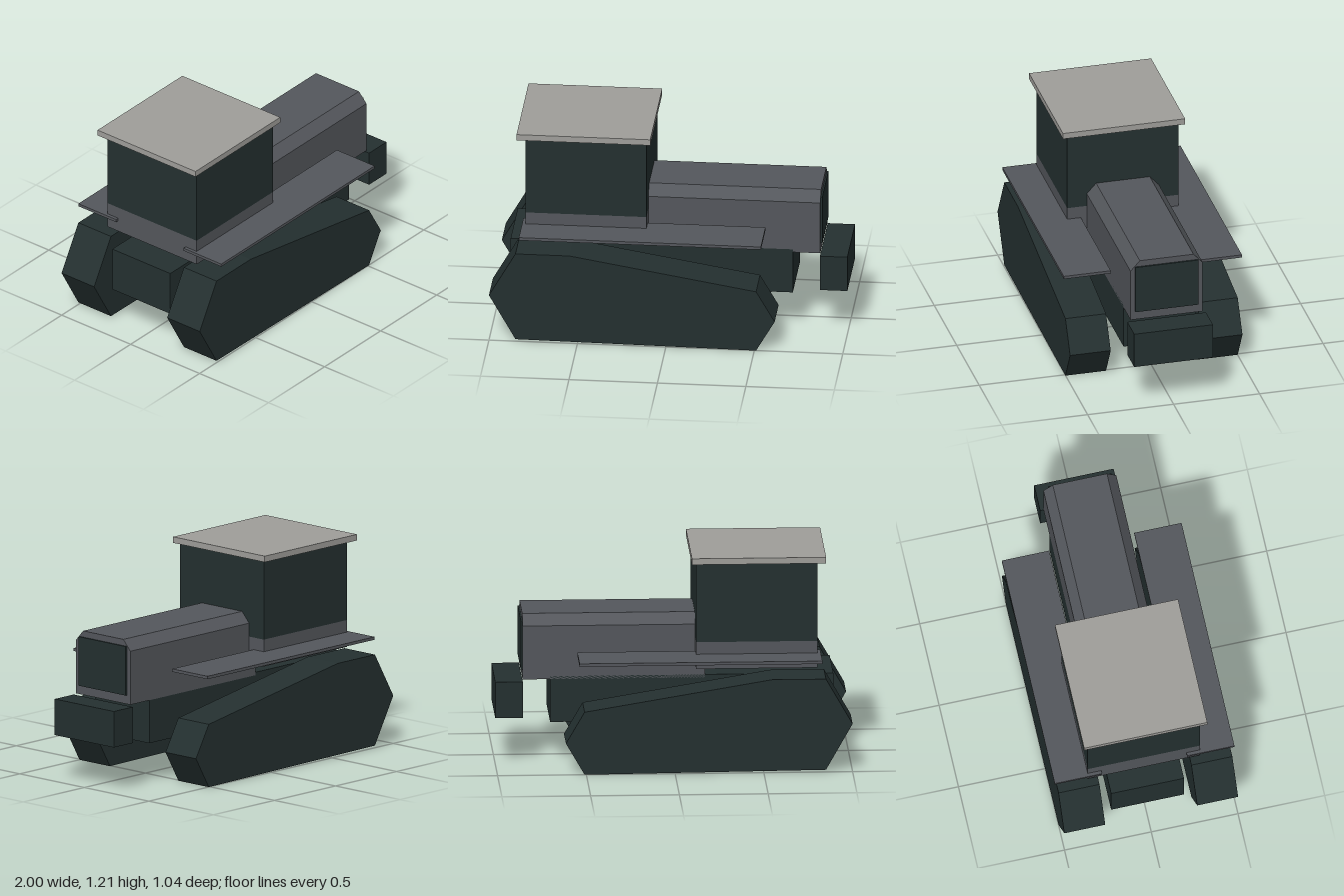
import * as THREE from 'three';

export function createModel() {
  const model = new THREE.Group();
  model.name = 'crawlerTractor';

  const material = (name, color) => {
    const m = new THREE.MeshStandardMaterial({ color });
    m.name = name;
    return m;
  };
  const dark = material('darkGreenBlack', 0x243030);
  const grey = material('bodyGrey', 0x54575c);
  const pale = material('roofGrey', 0x9f9e9a);

  const add = (name, geometry, mat) => {
    const mesh = new THREE.Mesh(geometry, mat);
    mesh.name = name;
    model.add(mesh);
    return mesh;
  };

  // Box given by its limits on each axis
  const box = (name, mat, [x0, x1], [y0, y1], [z0, z1]) => {
    const mesh = add(name, new THREE.BoxGeometry(x1 - x0, y1 - y0, z1 - z0), mat);
    mesh.position.set((x0 + x1) / 2, (y0 + y1) / 2, (z0 + z1) / 2);
    return mesh;
  };

  // Straight extrusion of a polygon along z, centred on z = 0
  const prism = (points, depth) => {
    const shape = new THREE.Shape(points.map(([x, y]) => new THREE.Vector2(x, y)));
    return new THREE.ExtrudeGeometry(shape, { depth, bevelEnabled: false })
      .translate(0, 0, -depth / 2);
  };

  // Chassis and front weight
  box('chassis', dark, [-0.905, 0.69], [0.24, 0.505], [-0.21, 0.21]);
  box('frontWeight', dark, [0.845, 1], [0.27, 0.478], [-0.229, 0.229]);

  // Hood with chamfered top edges, running along x
  const hood = prism([
    [-0.21, 0.488], [0.21, 0.488], [0.21, 0.797],
    [0.156, 0.857], [-0.156, 0.857], [-0.21, 0.797],
  ], 1.026);
  hood.rotateY(Math.PI / 2).translate(0.332, 0, 0);
  add('hood', hood, grey);
  box('grille', dark, [0.845, 0.854], [0.538, 0.821], [-0.183, 0.183]);

  // Cab
  box('cabBase', grey, [-0.81, -0.127], [0.565, 0.72], [-0.324, 0.324]);
  box('cabWindows', dark, [-0.81, -0.127], [0.72, 1.176], [-0.324, 0.324]);
  box('cabRoof', pale, [-0.858, -0.102], [1.176, 1.211], [-0.355, 0.355]);

  // Tracks and fenders on both sides
  const track = prism([
    [-1, 0.28], [-0.85, 0.016], [0.51, 0.003], [0.615, 0.184],
    [0.51, 0.365], [-0.545, 0.541], [-0.85, 0.541],
  ], 0.236);
  for (const [side, s] of [['front', 1], ['back', -1]]) {
    add(`${side}SideTrack`, track, dark).position.z = s * 0.383;
    const z = s > 0 ? [0.245, 0.518] : [-0.518, -0.245];
    box(`${side}SideFender`, grey, [-0.829, 0.539], [0.633, 0.65], z);
  }

  return model;
}
